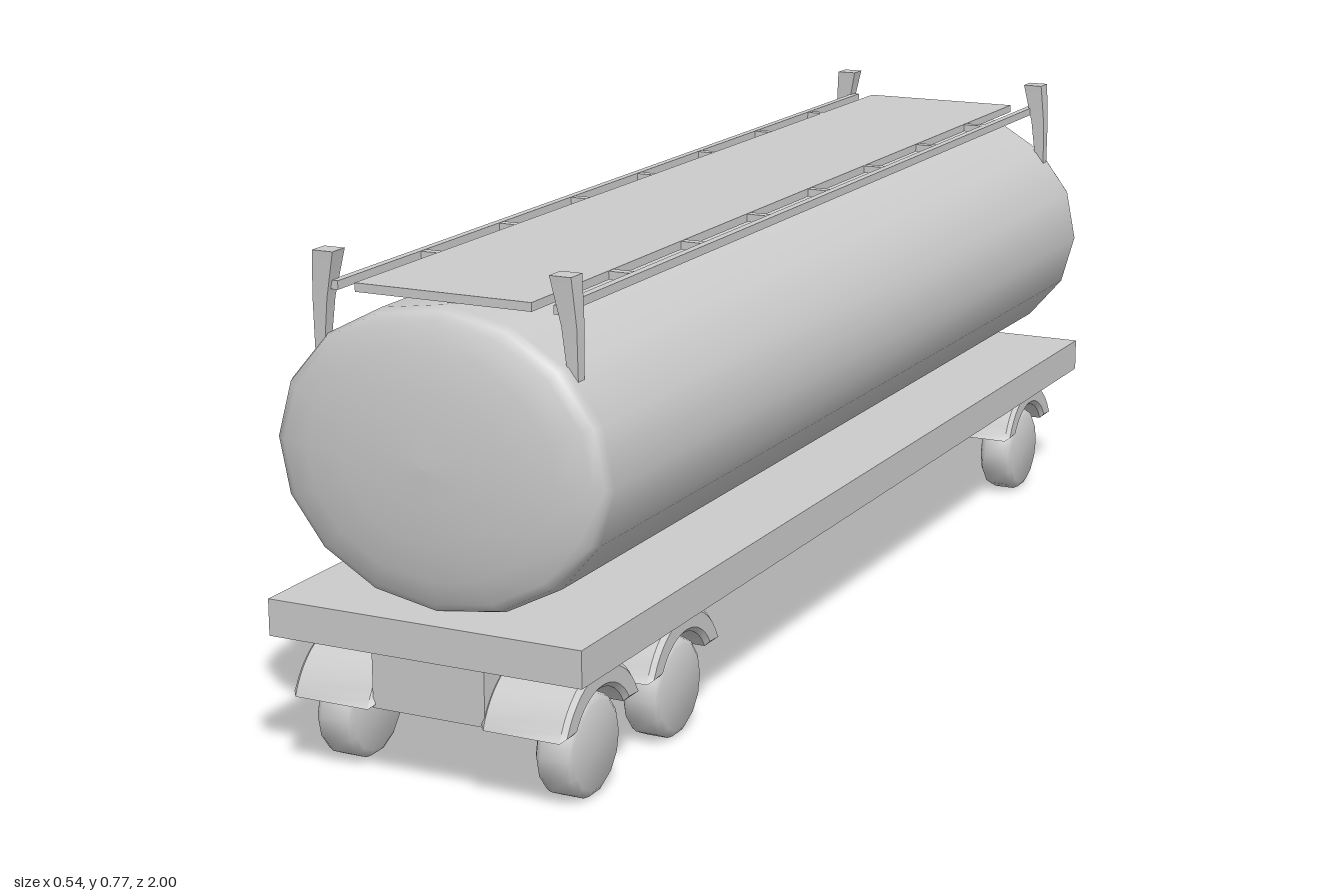
import * as THREE from 'three';
import { toCreasedNormals } from 'three/addons/utils/BufferGeometryUtils.js';

const material = new THREE.MeshStandardMaterial({ color: 0xcccccc });

function add(parent, name, geometry, x = 0, y = 0, z = 0) {
  const mesh = new THREE.Mesh(geometry, material);
  mesh.name = name;
  mesh.position.set(x, y, z);
  parent.add(mesh);
  return mesh;
}

function addGroup(parent, name) {
  const group = new THREE.Group();
  group.name = name;
  parent.add(group);
  return group;
}

const box = (w, h, d) => new THREE.BoxGeometry(w, h, d);

// Oval tank: 16-sided lathe with shallow domed ends, laid along z
function tankGeometry() {
  const half = [[1, 0.925], [0.975, 0.941], [0.92, 0.951], [0.75, 0.965], [0.5, 0.974], [0.25, 0.979], [0, 0.981]];
  const points = half.slice().reverse().map(([r, z]) => new THREE.Vector2(r, -z))
    .concat(half.map(([r, z]) => new THREE.Vector2(r, z)));
  return new THREE.LatheGeometry(points, 16, -0.033).rotateX(Math.PI / 2).scale(0.271, 0.224, 1);
}

// Wheel with chamfered shoulders, axle along x
function wheelGeometry() {
  const profile = [[0, -0.031], [0.066, -0.031], [0.074, -0.026], [0.078, -0.018],
    [0.078, 0.018], [0.074, 0.026], [0.066, 0.031], [0, 0.031]];
  const points = profile.map(([r, y]) => new THREE.Vector2(r, y));
  const geometry = new THREE.LatheGeometry(points, 14).rotateZ(-Math.PI / 2);
  return toCreasedNormals(geometry, 0.7);
}

// Arched mudguard, cut flat at the bottom, with chamfered edges
function fenderGeometry() {
  const outer = 0.123, inner = 0.085, cut = 0.042;
  const a = Math.asin(cut / outer), b = Math.asin(cut / inner);
  const shape = new THREE.Shape();
  shape.absarc(0, 0, outer, a, Math.PI - a, false);
  shape.absarc(0, 0, inner, Math.PI - b, b, true);
  shape.closePath();
  const bevel = 0.007;
  const geometry = new THREE.ExtrudeGeometry(shape, {
    depth: 0.136 - 2 * bevel, curveSegments: 10,
    bevelSize: bevel, bevelOffset: -bevel, bevelThickness: bevel, bevelSegments: 1,
  });
  geometry.translate(0, 0, bevel - 0.068).rotateY(Math.PI / 2);
  return toCreasedNormals(geometry, 0.5);
}

// Bracket that flares and leans inward towards the top
function postGeometry(side) {
  const levels = [[0.61, 0.198, 0.212, 0.008], [0.7, 0.188, 0.212, 0.011], [0.77, 0.173, 0.207, 0.016]];
  const geometry = new THREE.BoxGeometry(1, 1, 1, 1, 2, 1);
  const p = geometry.attributes.position;
  for (let i = 0; i < p.count; i++) {
    const [y, x0, x1, dz] = levels[Math.round((p.getY(i) + 0.5) * 2)];
    const isOuter = p.getX(i) * side > 0;
    p.setXYZ(i, side * (isOuter ? x1 : x0), y, Math.sign(p.getZ(i)) * dz);
  }
  return toCreasedNormals(geometry, 0.4);
}

export function createModel() {
  const model = new THREE.Group();
  model.name = 'tankTrailer';

  add(model, 'tank', tankGeometry(), 0, 0.489, 0.012);

  // Flat chassis bed, sloping very slightly to the back
  const bed = add(model, 'chassisBed', box(0.511, 0.056, 2), -0.006, 0.235, 0);
  bed.rotation.x = -0.003;

  // Walkway and side rails on top of the tank
  const roof = addGroup(model, 'roofWalkway');
  const midZ = 0.011;
  add(roof, 'walkway', box(0.284, 0.013, 1.832), -0.003, 0.72, midZ);
  for (const side of [1, -1]) {
    add(roof, 'rail', box(0.012, 0.013, 1.832), side * 0.179, 0.72, midZ);
    for (let i = -3; i <= 3; i++) {
      add(roof, 'railRung', box(0.045, 0.012, 0.015), side * 0.157, 0.72, midZ + i * 0.2285);
    }
    for (const z of [0.922, -0.9]) add(roof, 'railPost', postGeometry(side), 0, 0, z);
  }

  // Bogies: central box, with a fender and wheel on each side of every axle
  const wheel = wheelGeometry(), fender = fenderGeometry();
  const bogies = [
    { name: 'frontBogie', from: 0.494, to: 0.986, axles: [0.881, 0.619] },
    { name: 'rearBogie', from: -0.985, to: -0.507, axles: [-0.838] },
  ];
  for (const { name, from, to, axles } of bogies) {
    const bogie = addGroup(model, name);
    bogie.position.x = -0.006;
    add(bogie, 'bogieBox', box(0.184, 0.09, to - from), 0, 0.167, (from + to) / 2);
    for (const z of axles) {
      for (const side of [1, -1]) {
        add(bogie, 'fender', fender, side * 0.156, 0.08, z);
        add(bogie, 'wheel', wheel, side * 0.182, 0.079, z);
      }
    }
  }
  return model;
}
